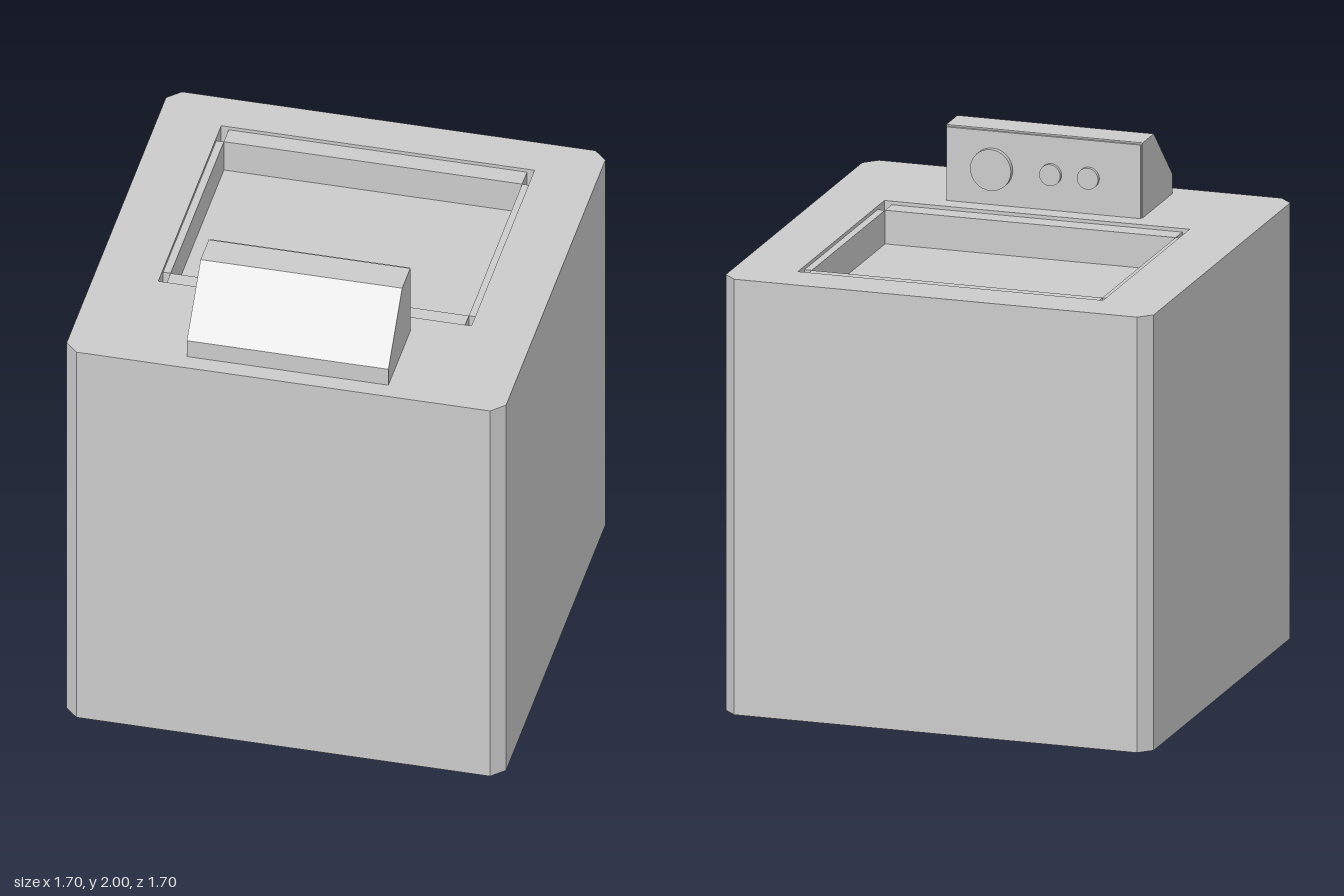
import * as THREE from 'three';

const H = 1.706;       // height of the body top
const FLOOR = 1.56;    // floor of the sunken well
const mat = new THREE.MeshStandardMaterial({ color: 0xcccccc, flatShading: true, side: THREE.DoubleSide });
const smooth = new THREE.MeshStandardMaterial({ color: 0xcccccc });

// upright band through a closed loop of [x, z] points
function wall(loop, y0, y1) {
  const pos = [];
  loop.forEach(([ax, az], i) => {
    const [bx, bz] = loop[(i + 1) % loop.length];
    pos.push(ax, y0, az, bx, y0, bz, bx, y1, bz, ax, y0, az, bx, y1, bz, ax, y1, az);
  });
  const g = new THREE.BufferGeometry();
  g.setAttribute('position', new THREE.Float32BufferAttribute(pos, 3));
  g.computeVertexNormals();
  return g;
}

export function createModel() {
  const model = new THREE.Group();
  const add = (name, geo, x = 0, y = 0, z = 0, m = mat) => {
    const mesh = new THREE.Mesh(geo, m);
    mesh.name = name;
    mesh.position.set(x, y, z);
    model.add(mesh);
    return mesh;
  };

  // hollow body with cut corners, open underneath
  const R = 0.85, C = 0.8;
  const outline = [[C, R], [R, C], [R, -C], [C, -R], [-C, -R], [-R, -C], [-R, C], [-C, R]];
  add('bodyShell', wall(outline, 0, H));

  // well: outer rectangle, and the inner rectangle left between its rails
  const ox = 0.606, ix = 0.577, ozB = -0.675, izB = -0.597, izF = 0.262, ozF = 0.34;
  const well = [[ox, ozF], [ox, ozB], [-ox, ozB], [-ox, ozF]];

  // top plate with the well cut out (shape y becomes -z)
  const toVec = ([x, z]) => new THREE.Vector2(x, -z);
  const top = new THREE.Shape(outline.map(toVec));
  top.holes.push(new THREE.Path(well.map(toVec)));
  add('topPlate', new THREE.ShapeGeometry(top).rotateX(-Math.PI / 2), 0, H, 0);
  add('wellWalls', wall(well, FLOOR, H));
  add('wellFloor', new THREE.PlaneGeometry(2 * ox, ozF - ozB).rotateX(-Math.PI / 2), 0, FLOOR, (ozF + ozB) / 2);

  // rails just below the top, leaving a small slot at each corner
  const railH = H - 0.014 - FLOOR, railY = FLOOR + railH / 2;
  for (const s of [-1, 1]) {
    add('sideRail', new THREE.BoxGeometry(ox - ix, railH, izF - izB), s * (ox + ix) / 2, railY, (izF + izB) / 2);
  }
  for (const [a, b, name] of [[ozB, izB, 'backRail'], [izF, ozF, 'frontRail']]) {
    add(name, new THREE.BoxGeometry(2 * ix, railH, b - a), 0, railY, (a + b) / 2);
  }

  // control panel housing: side profile in (z, y), extruded along x
  const profile = [[0.78, H], [0.78, 1.78], [0.558, 2], [0.428, 2], [0.428, H]];
  const side = new THREE.Shape(profile.map(([z, y]) => new THREE.Vector2(-z, y)));
  const housing = new THREE.ExtrudeGeometry(side, { depth: 0.78, bevelEnabled: false });
  housing.translate(0, 0, -0.39).rotateY(Math.PI / 2);
  add('panelHousing', housing);
  add('panelPlate', new THREE.BoxGeometry(0.772, 2 - H - 0.006, 0.012), 0, (2 + H) / 2 - 0.003, 0.422);

  // round dial and two buttons on the panel's back
  for (const [name, x, r, z] of [['dial', 0.203, 0.081, 0.394], ['button', -0.03, 0.042, 0.4], ['button', -0.18, 0.042, 0.4]]) {
    const d = 0.42 - z;
    add(name, new THREE.CylinderGeometry(r, r, d, 32).rotateX(Math.PI / 2), x, 1.847, z + d / 2, smooth);
  }
  return model;
}
